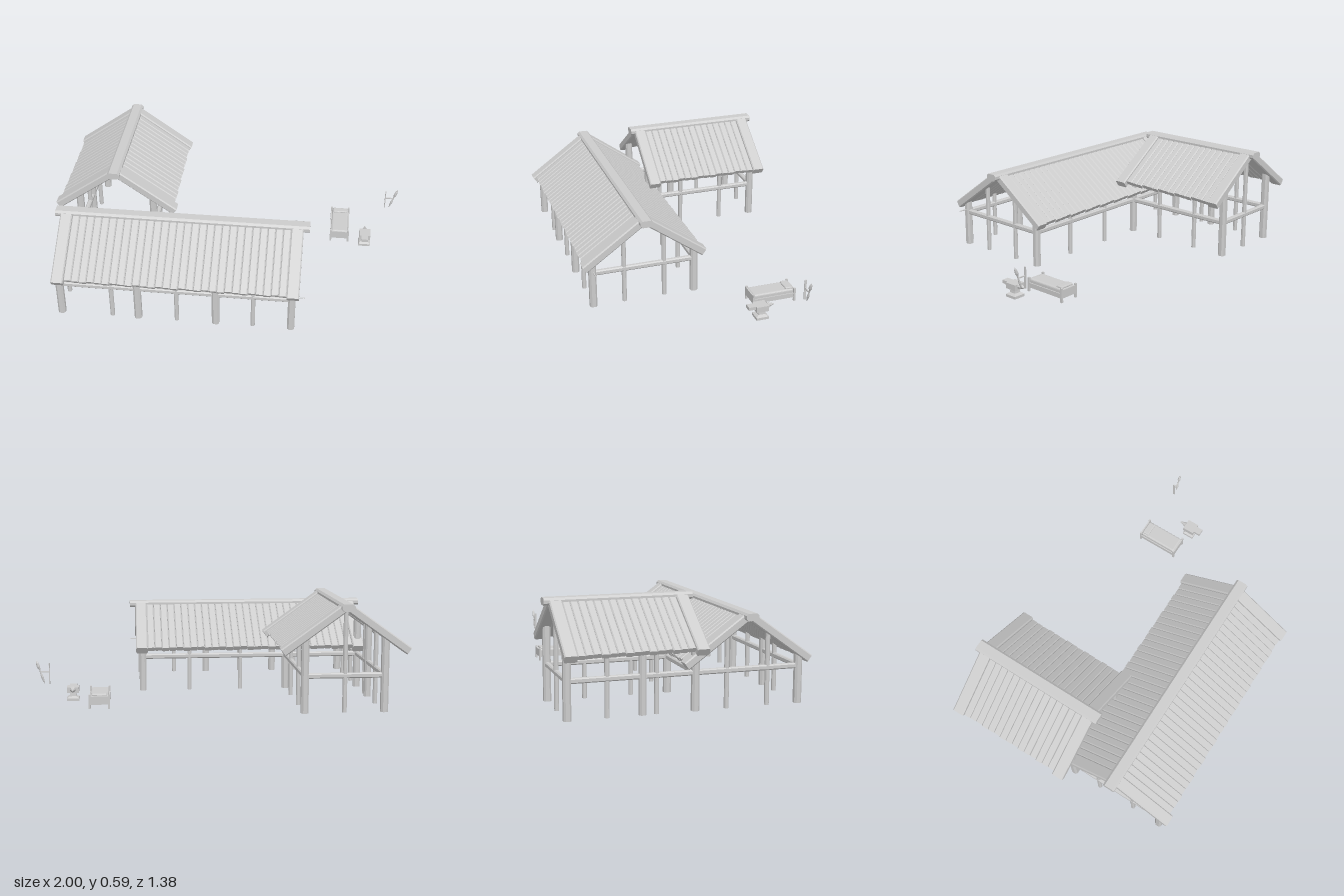
import * as THREE from 'three';
import { RoundedBoxGeometry } from 'three/addons/geometries/RoundedBoxGeometry.js';

const mat = new THREE.MeshStandardMaterial({ color: 0xcccccc, flatShading: true });
const V = (x, y, z) => new THREE.Vector3(x, y, z);

function add(parent, name, geo, x = 0, y = 0, z = 0) {
  const m = new THREE.Mesh(geo, mat);
  m.name = name;
  m.position.set(x, y, z);
  parent.add(m);
  return m;
}

// Timber with chamfered long edges from a to b; w is its horizontal width, h its depth
function timber(parent, name, a, b, w, h, c = 0.008) {
  const x = w / 2, y = h / 2;
  const s = new THREE.Shape([
    [x, -y + c], [x, y - c], [x - c, y], [-x + c, y],
    [-x, y - c], [-x, -y + c], [-x + c, -y], [x - c, -y],
  ].map(p => new THREE.Vector2(...p)));
  const dir = b.clone().sub(a);
  const geo = new THREE.ExtrudeGeometry(s, { depth: dir.length(), bevelEnabled: false });
  dir.normalize();
  const side = Math.abs(dir.y) > 0.99 ? V(1, 0, 0) : V(0, 1, 0).cross(dir).normalize();
  const up = dir.clone().cross(side);
  geo.applyMatrix4(new THREE.Matrix4().makeBasis(side, up, dir));
  return add(parent, name, geo, a.x, a.y, a.z);
}

// Height of the roof's middle layer at distance d from the ridge
const roofY = d => 0.482 - 0.716 * d;
const RAISE = 0.09;

// Gable roof with its ridge along x: wide end boards, slats and ridge beam
function roof(name, x0, x1, r0, r1, slats) {
  const g = new THREE.Group();
  g.name = name;
  const W = 0.067, pitch = (x1 - x0 - 2 * W) / slats;
  const board = (n, x, s, d, w, h, c) =>
    timber(g, n, V(x, roofY(0.02), s * 0.02), V(x, roofY(d), s * d), w, h, c);
  for (const s of [-1, 1]) {
    board('endBoard', x0 + W / 2, s, 0.342, W, 0.044, 0.006);
    board('endBoard', x1 - W / 2, s, 0.336, W, 0.044, 0.006);
    for (let i = 0; i < slats; i++) {
      const d = 0.328 + 0.002 * ((i * 7) % 3 - 1);
      board('roofSlat', x0 + W + (i + 0.5) * pitch, s, d, pitch * 0.985, 0.028, 0.005);
    }
  }
  timber(g, 'ridgeBeam', V(r0, 0.477, 0), V(r1, 0.477, 0), 0.07, 0.038, 0.011);
  return g;
}

function frame(root) {
  const g = new THREE.Group();
  g.name = 'timberFrame';
  root.add(g);
  const post = (x, z, top, w) => timber(g, w > 0.03 ? 'mainPost' : 'thinPost', V(x, 0, z), V(x, top, z), w, w, w * 0.25);
  const rail = (x0, z0, x1, z1) => timber(g, 'rail', V(x0, 0.2, z0), V(x1, 0.2, z1), 0.026, 0.028, 0.006);
  const BIG = 0.04, THIN = 0.023, eave = roofY(0.288), annexTop = roofY(0.215) + RAISE;

  // Long hall: front row, back row and gable posts
  for (const x of [-0.86, -0.43, 0, 0.413]) post(x, 0.623, eave, BIG);
  for (const x of [-0.575, -0.215, 0.205]) post(x, 0.623, eave, THIN);
  post(0.413, 0.048, eave, BIG);
  for (const x of [-0.16, 0.14]) post(x, 0.048, eave, THIN);
  for (const x of [-0.86, 0.413]) for (const z of [0.22, 0.447]) post(x, z, roofY(0.113), THIN);

  // Annex: side rows and back gable
  for (const x of [-0.86, -0.43]) {
    for (const z of [0.048, -0.625]) post(x, z, annexTop, BIG);
    for (const z of [-0.16, -0.42]) post(x, z, annexTop, THIN);
    rail(x, 0.048, x, -0.625);
  }
  post(-0.86, -0.235, annexTop, 0.037);
  post(-0.645, -0.625, 0.56, THIN);

  for (const z of [0.623, 0.048]) rail(-0.86, z, 0.413, z);
  for (const x of [-0.86, 0.413]) rail(x, 0.048, x, 0.623);
  rail(-0.86, -0.625, -0.43, -0.625);
  timber(g, 'peg', V(0.41, 0.215, 0.622), V(0.482, 0.215, 0.622), 0.005, 0.005, 0.001);
}

function bed() {
  const g = new THREE.Group();
  g.name = 'bed';
  g.position.set(0.658, 0, -0.312);
  for (const z of [-0.12, 0.12]) {
    for (const x of [-0.052, 0.052])
      add(g, 'bedPost', new THREE.BoxGeometry(0.011, 0.078, 0.011), x, 0.039, z);
    add(g, 'endPanel', new THREE.BoxGeometry(0.1, 0.046, 0.008), 0, 0.046, z);
  }
  for (const x of [-0.052, 0.052])
    add(g, 'sideBoard', new THREE.BoxGeometry(0.008, 0.026, 0.24), x, 0.036, 0);
  add(g, 'mattress', new RoundedBoxGeometry(0.1, 0.04, 0.235, 2, 0.01), 0, 0.052, 0);
  add(g, 'pillow', new RoundedBoxGeometry(0.084, 0.014, 0.042, 2, 0.006), 0, 0.074, -0.092);
  return g;
}

function anvil() {
  const g = new THREE.Group();
  g.name = 'anvil';
  g.position.set(0.81, 0, -0.19);
  // Flared foot, waist and neck
  const foot = new THREE.LatheGeometry([
    [0, 0], [0.049, 0], [0.049, 0.014], [0.027, 0.024], [0.024, 0.042], [0.04, 0.054], [0, 0.054],
  ].map(p => new THREE.Vector2(...p)), 4).rotateY(Math.PI / 4);
  add(g, 'foot', foot);
  add(g, 'body', new THREE.BoxGeometry(0.066, 0.032, 0.07), 0, 0.062, 0);
  add(g, 'heel', new THREE.BoxGeometry(0.04, 0.018, 0.042), 0, 0.069, 0.054);
  const horn = new THREE.CylinderGeometry(0.003, 0.018, 0.042, 8).rotateX(-Math.PI / 2);
  add(g, 'horn', horn, 0, 0.066, -0.054);
  return g;
}

// Small wall piece: upright strip, arm and leaning double-bladed paddle
function wallPiece() {
  const g = new THREE.Group();
  g.name = 'wallPiece';
  g.position.set(0, 0, -0.388);
  add(g, 'backStrip', new THREE.BoxGeometry(0.005, 0.115, 0.012), 0.924, 0.19, 0);
  add(g, 'arm', new THREE.BoxGeometry(0.046, 0.006, 0.006), 0.948, 0.2, 0);
  const paddle = new THREE.LatheGeometry([
    [0, -0.068], [0.004, -0.055], [0.007, -0.03], [0.004, -0.005],
    [0.004, 0.012], [0.009, 0.03], [0.007, 0.052], [0, 0.068],
  ].map(p => new THREE.Vector2(...p)), 8);
  add(g, 'paddle', paddle, 0.972, 0.2, 0).rotation.z = -0.33;
  return g;
}

export function createModel() {
  const root = new THREE.Group();
  root.name = 'timberLonghouse';

  const hall = roof('hallRoof', -0.89, 0.452, -0.92, 0.485, 29);
  hall.position.z = 0.335;
  root.add(hall);

  // The annex roof is the same construction turned a quarter and raised
  const annex = roof('annexRoof', -0.075, 0.665, -0.1, 0.692, 15);
  annex.rotation.y = Math.PI / 2;
  annex.position.set(-0.645, RAISE, 0);
  root.add(annex);

  frame(root);
  root.add(bed(), anvil(), wallPiece());
  return root;
}
